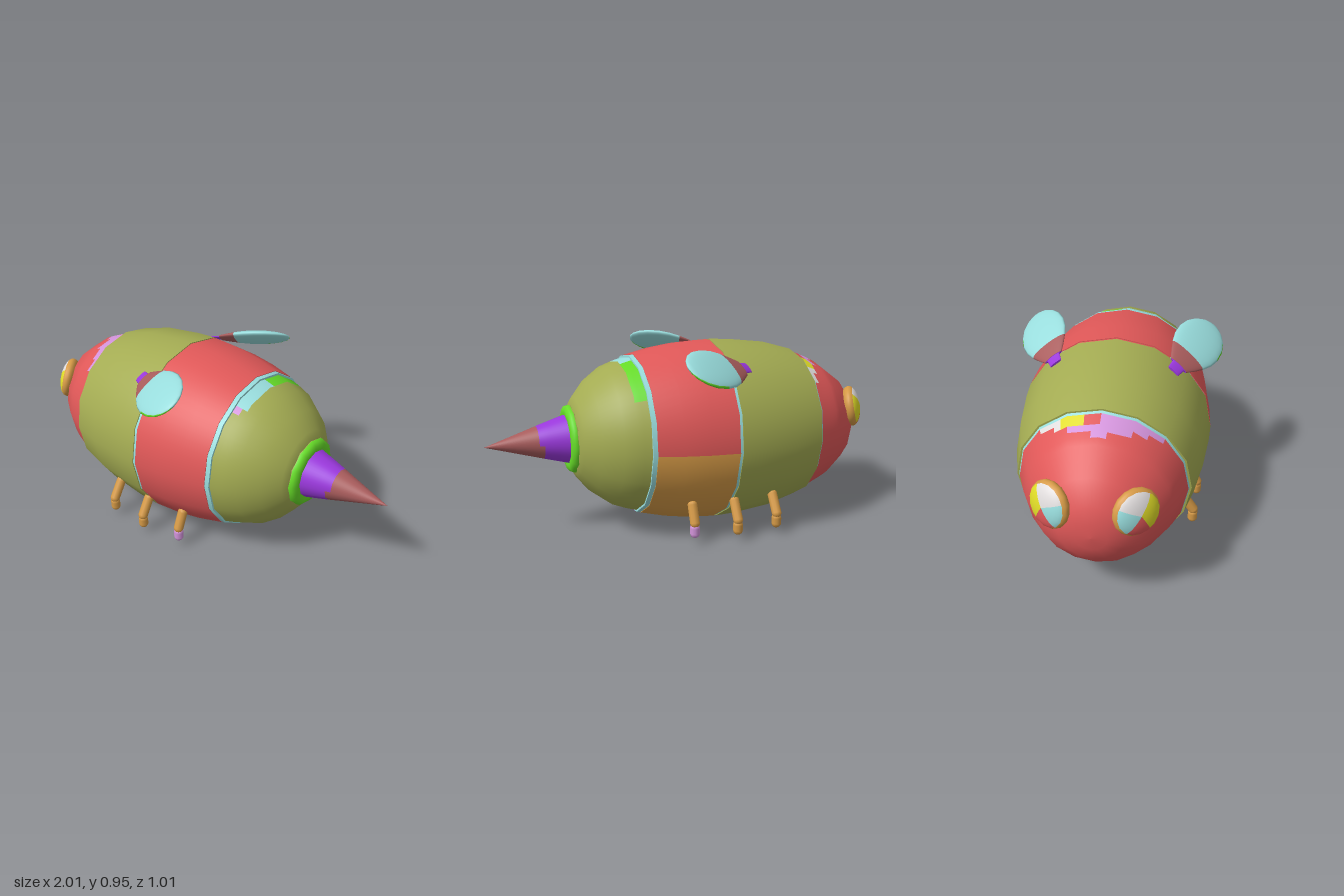
import * as THREE from 'three';

const HEX = {
  red: 0xe05858, olive: 0xa3ab52, cyan: 0x98dcdc, brown: 0xa85c5c, purple: 0x9a38dc,
  green: 0x66dc28, tan: 0xd69a46, pink: 0xd494dc, white: 0xe0dcdc, yellow: 0xe0dc28,
};

export function createModel() {
  const names = Object.keys(HEX);
  const mats = names.map((name) => {
    const m = new THREE.MeshStandardMaterial({ color: HEX[name] });
    m.name = name;
    return m;
  });
  const model = new THREE.Group();
  model.name = 'bee';

  // Solid turned around the x axis from [x, radius] points, with an n-sided section.
  // colour(x, a): a is the angle in degrees from the top, positive towards +z.
  function turned(name, profile, colour, n = 16, parent = model) {
    const segs = n * 4, rows = profile.length - 1, w = (2 * Math.PI) / n;
    const geo = new THREE.LatheGeometry(profile.map(([x, r]) => new THREE.Vector2(r, x)), segs);
    const pos = geo.attributes.position;
    for (let i = 0; i <= segs; i++) {
      const k = Math.cos(w / 2) / Math.cos((i % 4) * w / 4 - w / 2);
      for (let j = 0; j <= rows; j++) {
        const v = i * (rows + 1) + j;
        pos.setX(v, pos.getX(v) * k);
        pos.setZ(v, pos.getZ(v) * k);
      }
    }
    geo.rotateZ(-Math.PI / 2);
    let last = null;
    for (let i = 0; i < segs; i++) {
      const phi = ((i + 0.5) / segs) * 2 * Math.PI;
      const a = THREE.MathUtils.radToDeg(Math.atan2(Math.cos(phi), -Math.sin(phi)));
      for (let j = 0; j < rows; j++) {
        const id = names.indexOf(colour((profile[j][0] + profile[j + 1][0]) / 2, a));
        if (last && last.materialIndex === id) last.count += 6;
        else {
          geo.addGroup((i * rows + j) * 6, 6, id);
          last = geo.groups[geo.groups.length - 1];
        }
      }
    }
    const mesh = new THREE.Mesh(geo, mats);
    mesh.name = name;
    parent.add(mesh);
    return mesh;
  }

  // Striped body, tipped very slightly nose-down
  const body = new THREE.Group();
  body.name = 'body';
  body.position.y = 0.483;
  body.rotation.z = 0.028;
  model.add(body);

  turned('head', [[-1, 0], [-0.995, 0.07], [-0.97, 0.15], [-0.9, 0.245], [-0.78, 0.33], [-0.75, 0.345],
    [-0.72, 0.358], [-0.69, 0.37], [-0.665, 0.38], [-0.64, 0.39]], (x, a) => {
    if (x < -0.75 + 0.11 * Math.abs(a) / 50) return 'red';
    if (a < -28) return 'white';
    if (x > -0.7 && a < -12) return 'yellow';
    if (x > -0.7 && a < 0) return 'red';
    return 'pink';
  }, 16, body);

  turned('frontBand', [[-0.628, 0.39], [-0.628, 0.404], [-0.628, 0.404], [-0.46, 0.448], [-0.26, 0.469],
    [-0.155, 0.473], [-0.155, 0.473], [-0.155, 0.455]], () => 'olive', 16, body);

  turned('middleBand', [[-0.14, 0.455], [-0.14, 0.472], [-0.14, 0.472], [0, 0.462], [0.13, 0.441],
    [0.255, 0.41], [0.255, 0.41], [0.255, 0.39]], (x, a) => (a < -88 ? 'tan' : 'red'), 16, body);

  turned('rearBand', [[0.275, 0.395], [0.31, 0.385], [0.335, 0.377], [0.4, 0.352], [0.49, 0.285],
    [0.555, 0.205], [0.585, 0.15], [0.59, 0]], (x, a) => {
    if (x > 0.335) return 'olive';
    if (a > -50 && a < -8) return 'green';
    if (a > -8 && a < 27) return 'cyan';
    return a > 27 && a < 34 && x < 0.31 ? 'pink' : 'olive';
  }, 16, body);

  // Thin rings between the bands
  turned('frontSeam', [[-0.65, 0.383], [-0.62, 0.4]], () => 'cyan', 16, body);
  turned('middleSeam', [[-0.16, 0.469], [-0.135, 0.468]], (x, a) => (Math.abs(a) < 35 ? 'red' : 'cyan'), 16, body);
  turned('rearSeam', [[0.25, 0.408], [0.277, 0.404], [0.277, 0.404], [0.277, 0.385]],
    (x, a) => (a < -164 ? 'purple' : 'cyan'), 16, body);

  // Sting and its collar
  turned('collar', [[0.555, 0.14], [0.565, 0.17], [0.575, 0.174], [0.59, 0.17], [0.602, 0.155],
    [0.605, 0.135], [0.6, 0.11]], (x, a) => (x < 0.572 && Math.abs(a) < 80 ? 'olive' : 'green'), 12)
    .position.y = 0.495;
  turned('sting', [[0.585, 0.128], [0.7, 0.094], [0.72, 0.088], [0.745, 0.08], [1, 0]],
    (x, a) => (x < (Math.abs(a) < 90 ? 0.74 : 0.72) ? 'purple' : 'brown'), 12).position.y = 0.497;

  // Rounded limb segment between two points
  function limb(name, p, q, colour, parent) {
    const a = new THREE.Vector3(...p), d = new THREE.Vector3(...q).sub(a);
    const mesh = new THREE.Mesh(new THREE.CapsuleGeometry(0.025, d.length(), 4, 10), mats[names.indexOf(colour)]);
    mesh.name = name;
    mesh.position.copy(a).addScaledVector(d, 0.5);
    mesh.quaternion.setFromUnitVectors(new THREE.Vector3(0, 1, 0), d.normalize());
    parent.add(mesh);
  }

  for (const s of [1, -1]) {
    const side = s > 0 ? 'Front' : 'Back';

    // Bulging eye: tan rim around a face in coloured sectors
    const dome = Array.from({ length: 15 }, (_, i) => {
      const t = (i / 14) * Math.PI;
      return [-0.05 * Math.cos(t), 0.11 * Math.sin(t)];
    });
    const eye = turned('eye' + side, dome, (x, a) => {
      const b = a * s;
      if (x < 0.026) return 'tan';
      if (b > -150 && b < -40) return 'yellow';
      if (b >= -40 && b < 60) return 'white';
      return b >= 60 && b < 140 ? 'cyan' : 'red';
    });
    const n = new THREE.Vector3(-0.8, 0.2, 0.55 * s).normalize();
    const ez = new THREE.Vector3().crossVectors(n, new THREE.Vector3(0, 1, 0)).normalize();
    const ey = new THREE.Vector3().crossVectors(ez, n);
    eye.quaternion.setFromRotationMatrix(new THREE.Matrix4().makeBasis(n, ey, ez));
    eye.position.set(-0.93, 0.567, 0.183 * s);

    // Flat wing with a narrow root
    const wing = turned('wing' + side, [[-0.015, 0], [-0.015, 0.032], [-0.015, 0.032], [0.035, 0.036], [0.035, 0.05],
      [0.035, 0.05], [0.08, 0.077], [0.125, 0.1], [0.18, 0.12], [0.24, 0.127], [0.3, 0.118], [0.35, 0.095],
      [0.385, 0.062], [0.402, 0.03], [0.405, 0]], (x, a) => {
      if (x < 0.036) return 'purple';
      if (x < 0.125) return 'brown';
      return x > 0.26 && a * s > 75 && a * s < 140 ? 'green' : 'cyan';
    });
    const along = new THREE.Vector3(0.36, 0.05, 0.17 * s).normalize();
    const across = new THREE.Vector3().crossVectors(along, new THREE.Vector3(-0.45, 1, 0.6 * s)).normalize();
    const up = new THREE.Vector3().crossVectors(across, along);
    wing.quaternion.setFromRotationMatrix(new THREE.Matrix4().makeBasis(along, up, across));
    wing.scale.y = 0.22;
    wing.position.set(-0.245, 0.85, 0.285 * s);

    // Three bent legs
    [[-0.375, 0.36, 0.415, 'tan'], [-0.155, 0.375, 0.425, 'tan'], [0.06, 0.35, 0.385, 'pink']]
      .forEach(([x, z0, z1, foot], i) => {
        const leg = new THREE.Group();
        leg.name = 'leg' + side + (i + 1);
        limb('upperLeg', [x, 0.2, z0 * s], [x, 0.115, z1 * s], 'tan', leg);
        limb('foot', [x, 0.09, z1 * s], [x, 0.062, z1 * s], foot, leg);
        model.add(leg);
      });
  }
  return model;
}
